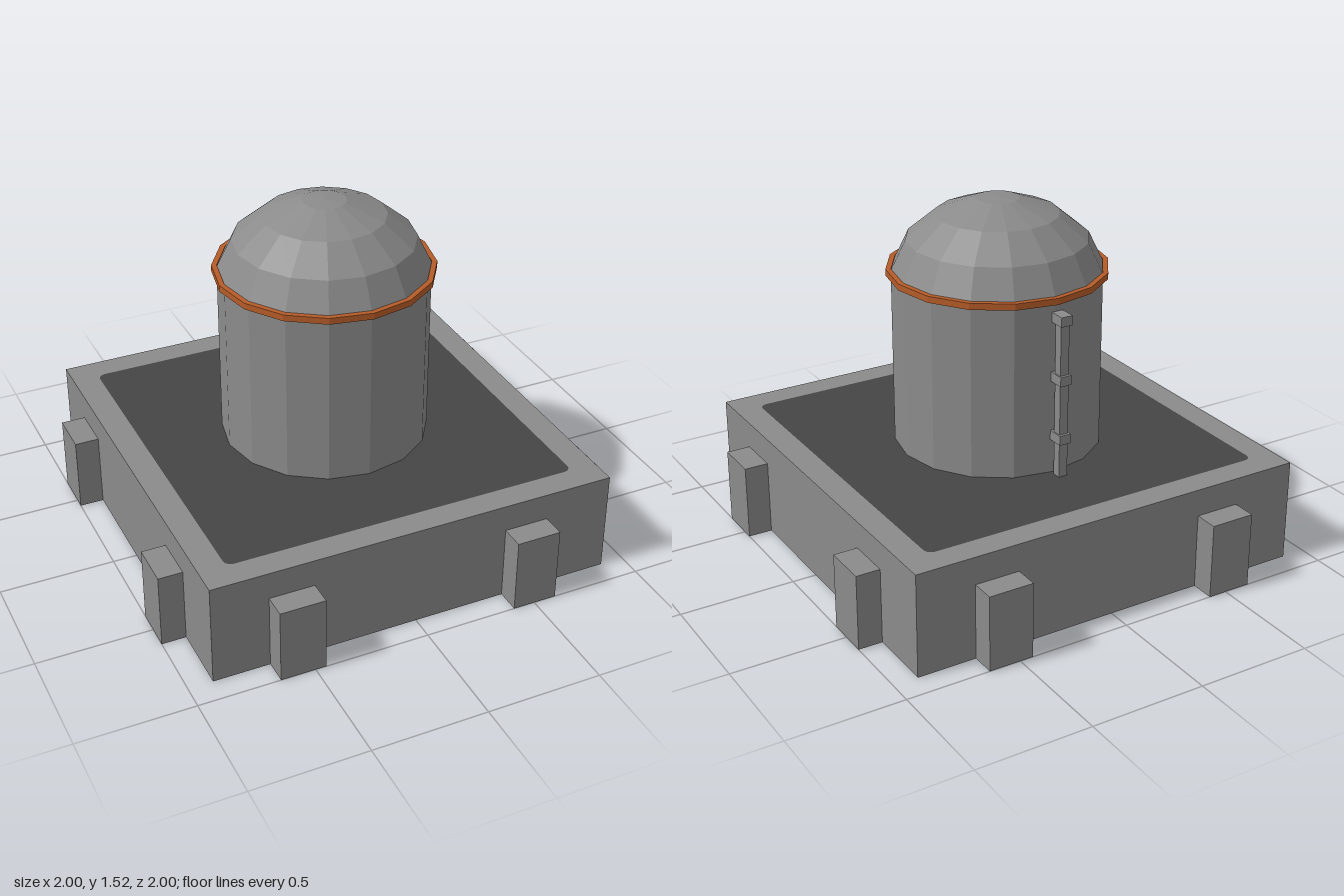
import * as THREE from 'three';

const mat = (name, color) => {
  const m = new THREE.MeshStandardMaterial({ color, flatShading: true, side: THREE.DoubleSide });
  m.name = name;
  return m;
};

// Box standing on y0, with the listed faces left out (0 +x, 1 -x, 2 top, 3 bottom, 4 +z, 5 -z)
function openBox(w, h, d, y0, omit) {
  const g = new THREE.BoxGeometry(w, h, d).translate(0, y0 + h / 2, 0);
  const all = Array.from(g.index.array);
  g.setIndex(all.filter((_, i) => !omit.includes(Math.floor(i / 6))));
  g.clearGroups();
  return g;
}

// Square with rounded corners, as a list of points
function roundedSquare(half, r) {
  const s = new THREE.Shape();
  const c = half - r;
  s.absarc(c, c, r, 0, Math.PI / 2);
  s.absarc(-c, c, r, Math.PI / 2, Math.PI);
  s.absarc(-c, -c, r, Math.PI, Math.PI * 1.5);
  s.absarc(c, -c, r, Math.PI * 1.5, Math.PI * 2);
  return s.getPoints(4);
}

const lathe = (pts) => new THREE.LatheGeometry(pts.map(([r, y]) => new THREE.Vector2(r, y)), 16);

export function createModel() {
  const group = new THREE.Group();
  const concrete = mat('concrete grey', 0x8b8b8b);
  const roofing = mat('dark roofing', 0x454545);
  const rust = mat('rust orange', 0xb65c28);

  const add = (name, geometry, material, x = 0, y = 0, z = 0) => {
    const mesh = new THREE.Mesh(geometry, material);
    mesh.name = name;
    mesh.position.set(x, y, z);
    group.add(mesh);
  };

  // Hollow base: four walls, a rim and an inset deck
  const half = 0.895, deckY = 0.45;
  add('baseWalls', openBox(half * 2, deckY, half * 2, 0, [2, 3]), concrete);
  const rim = new THREE.Shape([[-1, -1], [1, -1], [1, 1], [-1, 1]]
    .map(([x, y]) => new THREE.Vector2(x * half, y * half)));
  const deckPoints = roundedSquare(0.78, 0.035);
  rim.holes.push(new THREE.Path(deckPoints));
  add('baseRim', new THREE.ShapeGeometry(rim).rotateX(-Math.PI / 2), concrete, 0, deckY);
  add('deck', new THREE.ShapeGeometry(new THREE.Shape(deckPoints)).rotateX(-Math.PI / 2), roofing, 0, deckY);

  // Buttresses, two through each wall, open underneath
  const buttress = openBox(0.196, 0.33, 0.2, 0, [3]);
  const buttressSide = openBox(0.2, 0.33, 0.196, 0, [3]);
  for (const x of [-0.552, 0.502]) add('frontButtress', buttress, concrete, x, 0, 0.9);
  for (const x of [-0.517, 0.54]) add('backButtress', buttress, concrete, x, 0, -0.9);
  for (const z of [-0.507, 0.55]) add('leftButtress', buttressSide, concrete, 0.9, 0, z);
  for (const z of [-0.552, 0.502]) add('rightButtress', buttressSide, concrete, -0.9, 0, z);

  // Tank body, dome and band
  add('tankBody', lathe([[0.448, 0.435], [0.448, 1.22]]), concrete);
  add('dome', lathe([[0.448, 1.22], [0.386, 1.35], [0.26, 1.455], [0.092, 1.518], [0, 1.525]]), concrete);
  add('band', lathe([[0.447, 1.2], [0.47, 1.2], [0.47, 1.228], [0.447, 1.228], [0.447, 1.2]]), rust);

  // Square drain pipe on the back, held by three clamps
  add('pipe', new THREE.BoxGeometry(0.04, 0.71, 0.04), concrete, -0.01, 0.805, -0.486);
  for (const y of [0.622, 0.884, 1.143]) {
    add('pipeClamp', new THREE.BoxGeometry(0.052, 0.042, 0.072), concrete, -0.01, y, -0.482);
  }
  return group;
}
